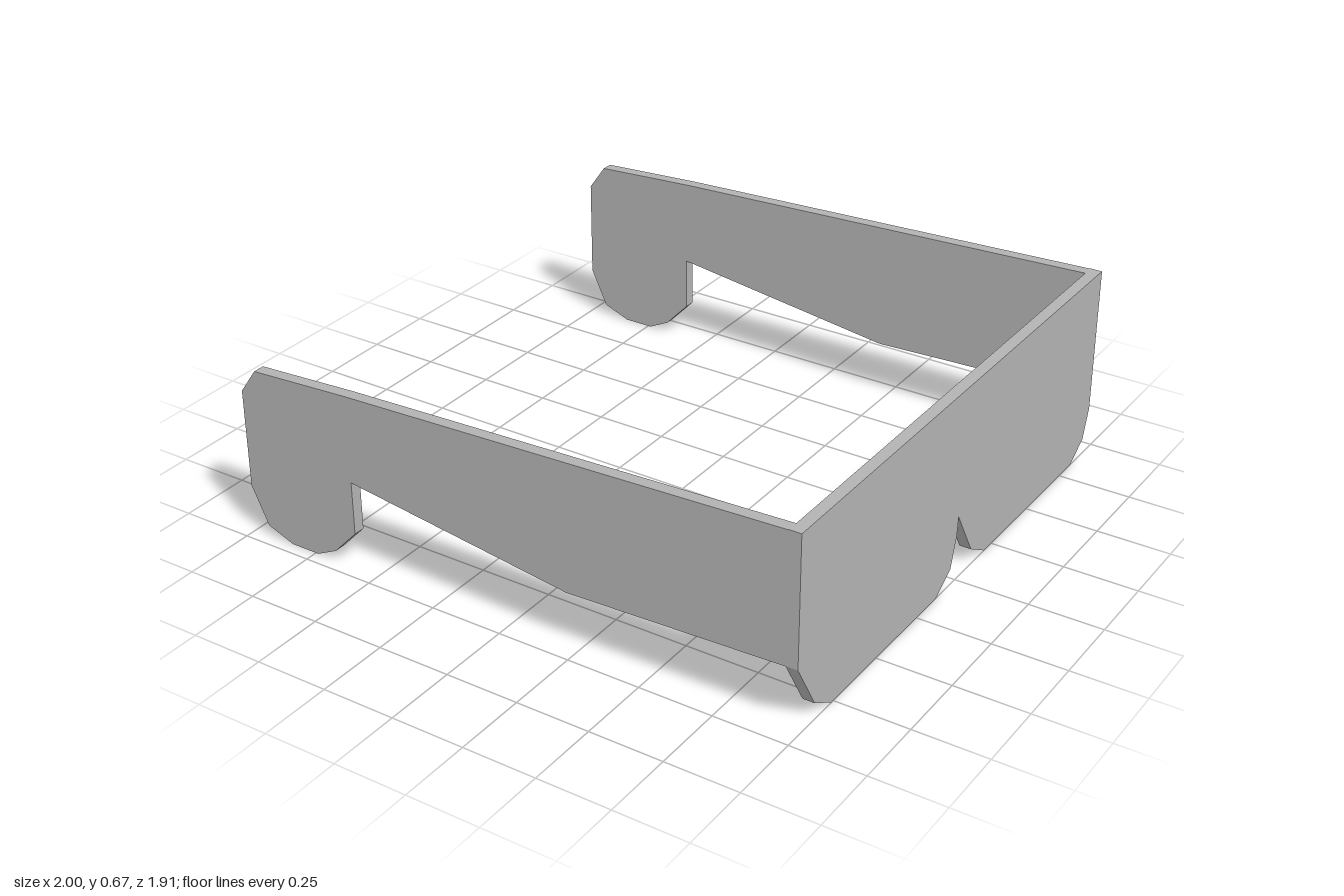
import * as THREE from 'three';

const THICK = 0.04;
const HALF_WIDTH = 0.957;

// Flat plate cut from an outline, extruded from z = 0 to z = THICK
function plate(outline) {
  const shape = new THREE.Shape(outline.map(([x, y]) => new THREE.Vector2(x, y)));
  return new THREE.ExtrudeGeometry(shape, { depth: THICK, bevelEnabled: false });
}

export function createModel() {
  const model = new THREE.Group();
  model.name = 'glassesFrame';
  const grey = new THREE.MeshStandardMaterial({ color: 0xb3b3b3 });
  grey.name = 'plain grey';

  // Front panel facing +x, outline given as [z, y] with the nose notch at z = 0
  const panelOutline = [
    [HALF_WIDTH, 0.667], [HALF_WIDTH, 0.226], [0.857, 0.056], [0.76, 0],
    [0.123, 0], [0.036, 0.056], [0.005, 0.16], [0, 0.226],
    [-0.103, 0.056], [-0.2, 0], [-0.836, 0], [-0.923, 0.056],
    [-HALF_WIDTH, 0.16], [-HALF_WIDTH, 0.667],
  ];
  const panelGeometry = plate(panelOutline.map(([z, y]) => [-z, y]));
  panelGeometry.rotateY(Math.PI / 2);
  const panel = new THREE.Mesh(panelGeometry, grey);
  panel.name = 'frontPanel';
  panel.position.x = 1 - THICK;
  model.add(panel);

  // Side arms with the rounded ear hooks, outline given as [x, y]
  const armGeometry = plate([
    [0.96, 0.666], [-0.577, 0.61], [-0.94, 0.59], [-1, 0.505],
    [-1, 0.165], [-0.94, 0.037], [-0.845, 0], [-0.74, 0],
    [-0.665, 0.037], [-0.58, 0.127], [-0.58, 0.31], [0.22, 0.2], [0.96, 0.225],
  ]);
  for (const [name, z] of [['frontArm', HALF_WIDTH - THICK], ['backArm', -HALF_WIDTH]]) {
    const arm = new THREE.Mesh(armGeometry, grey);
    arm.name = name;
    arm.position.z = z;
    model.add(arm);
  }

  return model;
}
